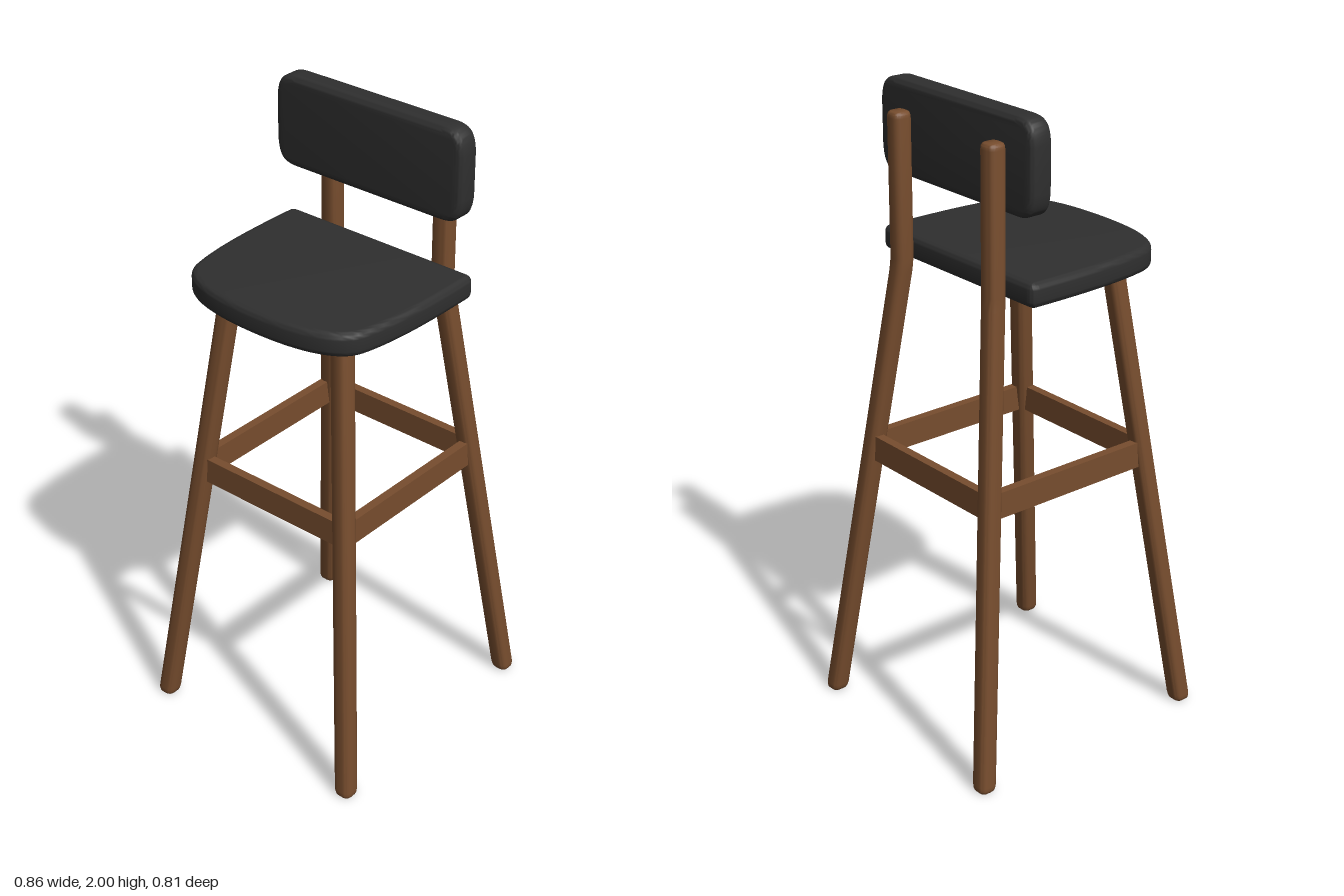
import * as THREE from 'three';
import { toCreasedNormals } from 'three/addons/utils/BufferGeometryUtils.js';

// Closed outline of a rounded square, as [x, z] pairs
function roundedSquare(half, radius, perCorner = 5) {
  const pts = [];
  for (let c = 0; c < 4; c++) {
    const mid = Math.PI / 4 + c * Math.PI / 2;
    const cx = Math.sign(Math.cos(mid)) * (half - radius);
    const cz = Math.sign(Math.sin(mid)) * (half - radius);
    for (let i = 0; i < perCorner; i++) {
      const a = c * Math.PI / 2 + (i / (perCorner - 1)) * Math.PI / 2;
      pts.push([cx + Math.cos(a) * radius, cz + Math.sin(a) * radius]);
    }
  }
  return pts;
}

// Leg lofted from level sections; each station is [x, y, z, scale]
function legGeometry(stations) {
  const section = roundedSquare(0.03, 0.02);
  const n = section.length, pos = [], idx = [];
  for (const [x, y, z, s] of stations) {
    for (const [a, b] of section) pos.push(x + a * s, y, z + b * s);
  }
  for (let r = 0; r < stations.length - 1; r++) {
    for (let i = 0; i < n; i++) {
      const a = r * n + i, b = r * n + (i + 1) % n;
      idx.push(a, a + n, b, b, a + n, b + n);
    }
  }
  // End caps
  const last = (stations.length - 1) * n;
  const bottom = pos.length / 3, top = bottom + 1;
  pos.push(...stations[0].slice(0, 3), ...stations[stations.length - 1].slice(0, 3));
  for (let i = 0; i < n; i++) {
    const j = (i + 1) % n;
    idx.push(bottom, i, j, top, last + j, last + i);
  }
  const g = new THREE.BufferGeometry();
  g.setAttribute('position', new THREE.Float32BufferAttribute(pos, 3));
  g.setIndex(idx);
  return toCreasedNormals(g, 0.75);
}

// Cushion: outline extruded to a full thickness with rounded edges
function cushion(shape, thickness, round) {
  const g = new THREE.ExtrudeGeometry(shape, {
    depth: thickness - 2 * round, bevelThickness: round, bevelSize: round,
    bevelOffset: -round, bevelSegments: 5, curveSegments: 14,
  });
  g.translate(0, 0, round - thickness / 2);
  return toCreasedNormals(g, 0.75);
}

export function createModel() {
  const model = new THREE.Group();
  const wood = new THREE.MeshStandardMaterial({ color: 0x774d2e });
  wood.name = 'walnut wood';
  const leather = new THREE.MeshStandardMaterial({ color: 0x2f2f2f });
  leather.name = 'black upholstery';

  const add = (name, geometry, material) => {
    const mesh = new THREE.Mesh(geometry, material);
    mesh.name = name;
    model.add(mesh);
    return mesh;
  };

  // Splayed legs; the backrest side (+x) bends upright above the seat
  const foot = { x: 0.403, z: 0.378 }, knee = { x: 0.226, y: 1.465, z: 0.211 };
  const onLeg = (y) => {
    const t = y / knee.y;
    return [foot.x + (knee.x - foot.x) * t, foot.z + (knee.z - foot.z) * t];
  };
  for (const sx of [-1, 1]) {
    for (const sz of [-1, 1]) {
      const at = (y, s) => {
        const [x, z] = onLeg(y);
        return [sx * x, y, sz * z, s];
      };
      const stations = [at(0, 0.74), at(0.004, 0.88), at(0.011, 0.96), at(0.022, 1)];
      if (sx < 0) {
        stations.push(at(1.48, 1));
      } else {
        const post = (y, s) => [knee.x, y, sz * knee.z, s];
        stations.push(at(1.44, 1), post(1.48, 1), post(1.902, 1),
          post(1.912, 0.96), post(1.917, 0.88), post(1.92, 0.74));
      }
      add(`${sx < 0 ? 'front' : 'back'}Leg${sz > 0 ? 'A' : 'B'}`, legGeometry(stations), wood);
    }
  }

  // Four footrest rails joining the legs
  const railY = 0.87, railH = 0.082, railT = 0.028;
  const [rx, rz] = onLeg(railY);
  for (const s of [-1, 1]) {
    add(s > 0 ? 'sideRailA' : 'sideRailB', new THREE.BoxGeometry(2 * rx, railH, railT), wood)
      .position.set(0, railY, s * (rz + 0.003));
    add(s > 0 ? 'backRail' : 'frontRail', new THREE.BoxGeometry(railT, railH, 2 * rz), wood)
      .position.set(s * (rx + 0.003), railY, 0);
  }

  // Seat pad: straight at the back, bowed at the front
  const seat = new THREE.Shape();
  seat.moveTo(0.197, -0.32);
  seat.lineTo(0.197, 0.32);
  seat.quadraticCurveTo(0.197, 0.346, 0.17, 0.346);
  seat.bezierCurveTo(0, 0.35, -0.16, 0.345, -0.26, 0.317);
  seat.bezierCurveTo(-0.33, 0.297, -0.375, 0.2, -0.375, 0);
  seat.bezierCurveTo(-0.375, -0.2, -0.33, -0.297, -0.26, -0.317);
  seat.bezierCurveTo(-0.16, -0.345, 0, -0.35, 0.17, -0.346);
  seat.quadraticCurveTo(0.197, -0.346, 0.197, -0.32);
  const seatMesh = add('seat', cushion(seat, 0.075, 0.02).rotateX(-Math.PI / 2), leather);
  seatMesh.position.y = 1.5025;

  // Backrest pad with soft corners
  const w = 0.341, h = 0.1425, c = 0.075;
  const back = new THREE.Shape();
  back.moveTo(-w + c, -h);
  back.lineTo(w - c, -h);
  back.bezierCurveTo(w - 0.02, -h, w - 0.005, -h + 0.02, w, -h + c);
  back.lineTo(w, h - c);
  back.bezierCurveTo(w - 0.005, h - 0.02, w - 0.02, h, w - c, h);
  back.lineTo(-w + c, h);
  back.bezierCurveTo(-w + 0.02, h, -w + 0.005, h - 0.02, -w, h - c);
  back.lineTo(-w, -h + c);
  back.bezierCurveTo(-w + 0.005, -h + 0.02, -w + 0.02, -h, -w + c, -h);
  const backMesh = add('backrest', cushion(back, 0.077, 0.018).rotateY(Math.PI / 2), leather);
  backMesh.position.set(0.159, 1.8575, 0);

  return model;
}
